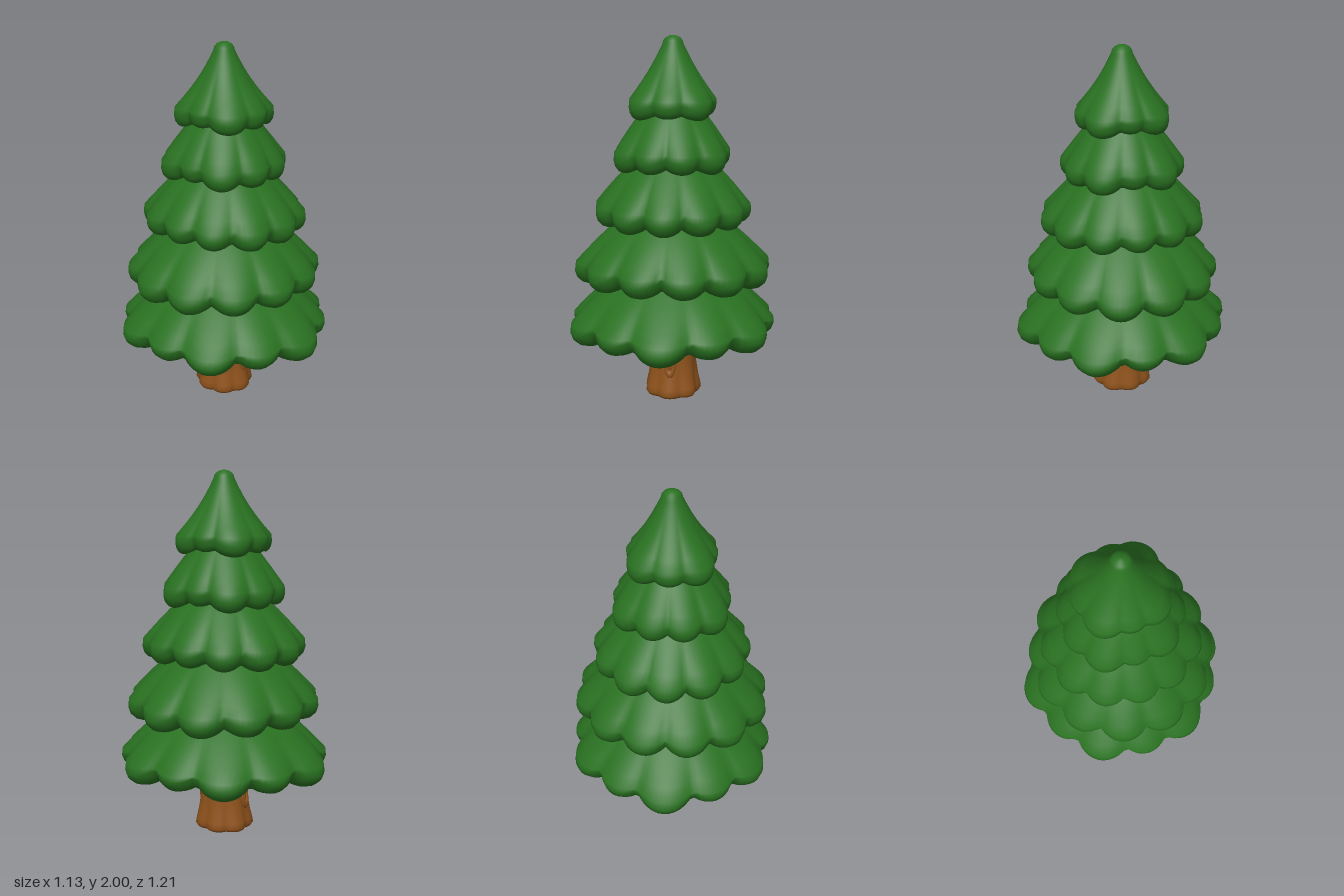
import * as THREE from 'three';

const needleGreen = new THREE.MeshStandardMaterial({ color: 0x297121 });
needleGreen.name = 'needleGreen';
const barkBrown = new THREE.MeshStandardMaterial({ color: 0x90531c });
barkBrown.name = 'barkBrown';

// Closed-around surface: point(i, angle) gives [radius, height] for ring i, from the bottom up
function ringSurface(rings, segments, point) {
  const positions = [], index = [];
  for (let i = 0; i < rings; i++) {
    for (let j = 0; j < segments; j++) {
      const a = (j / segments) * Math.PI * 2;
      const [r, y] = point(i, a);
      positions.push(r * Math.cos(a), y, r * Math.sin(a));
      if (i === rings - 1) continue;
      const p = i * segments + j, q = i * segments + (j + 1) % segments;
      index.push(p, p + segments, q, q, p + segments, q + segments);
    }
  }
  const g = new THREE.BufferGeometry();
  g.setAttribute('position', new THREE.Float32BufferAttribute(positions, 3));
  g.setIndex(index);
  g.computeVertexNormals();
  return g;
}

function addMesh(group, name, geometry, material) {
  const mesh = new THREE.Mesh(geometry, material);
  mesh.name = name;
  group.add(mesh);
  return mesh;
}

// Rounded lip of a tier: [share of the lobe radius, height above the lobe's bottom / lip size]
const LIP = [[0.12, 1.2], [0.5, 0.95], [0.72, 0.45], [0.81, 0.08], [0.87, 0], [0.93, 0.12], [0.98, 0.42], [1, 0.8]];
const SLOPE_RINGS = 7;
const CAP_RINGS = 4;

// rx, rz: reach sideways and to the front; diagonal, skew: extra reach of the lobes in between;
// phase: turn in lobes; bulge: outward (+) or inward (-) bow of the slope
const TIERS = [
  { lobes: 12, phase: 0, rx: 0.567, rz: 0.607, diagonal: 0, skew: 0.022, bottom: 0.33, lip: 0.085, topR: 0.2, topY: 0.77, bulge: 0.025 },
  { lobes: 12, phase: 0.5, rx: 0.547, rz: 0.53, diagonal: 0, skew: 0, bottom: 0.655, lip: 0.085, topR: 0.18, topY: 1.09, bulge: 0.022 },
  { lobes: 12, phase: 0, rx: 0.43, rz: 0.45, diagonal: 0.006, skew: 0, bottom: 0.98, lip: 0.08, topR: 0.14, topY: 1.4, bulge: 0.014 },
  { lobes: 10, phase: 0, rx: 0.312, rz: 0.335, diagonal: 0.02, skew: 0.01, bottom: 1.28, lip: 0.075, topR: 0.1, topY: 1.68, bulge: 0.008 },
  { lobes: 8, phase: 0, rx: 0.235, rz: 0.252, diagonal: 0.022, skew: 0, bottom: 1.56, lip: 0.07, topR: 0.056, topY: 1.955, bulge: -0.014 },
];

function tierGeometry({ lobes, phase, rx, rz, diagonal, skew, bottom, lip, topR, topY, bulge }) {
  const spacing = (Math.PI * 2) / lobes;
  const lobeRadii = Array.from({ length: lobes }, (_, n) => {
    const a = (n + phase) * spacing;
    const s = Math.abs(Math.sin(a)), c = Math.abs(Math.cos(a));
    const fold = Math.atan2(s, c);
    return rx + (rz - rx) * s * s + diagonal * Math.sin(2 * fold) + skew * Math.sin(4 * fold);
  });
  const biggest = Math.max(...lobeRadii);
  const mean = lobeRadii.reduce((sum, r) => sum + r, 0) / lobes;

  // Scalloped outline: the outermost of all lobes at this angle
  const outline = a => Math.max(...lobeRadii.map((r, n) => {
    const d = a - (n + phase) * spacing;
    const near = Math.atan2(Math.sin(d), Math.cos(d)) / (spacing / 2);
    return r * (1 - 0.1 * near * near);
  }));

  return ringSurface(LIP.length + SLOPE_RINGS + CAP_RINGS, 120, (i, a) => {
    const R = outline(a);
    const lift = (biggest - R) * 0.75;
    if (i < LIP.length) {
      // The hollow underside smooths out towards the trunk
      const [share, rise] = LIP[i];
      const lobed = Math.min(1, share * share * 1.4);
      return [share * THREE.MathUtils.lerp(mean, R, lobed), bottom + rise * lip + lift * lobed];
    }
    // Bowed slope, on which the folds between lobes fade out
    const t = (i - LIP.length) / (SLOPE_RINGS - 1);
    if (t <= 1) {
      const fade = Math.max(0, 1 - (t + 0.1) / 0.9);
      const r = THREE.MathUtils.lerp(mean * 0.965, topR, t) + bulge * Math.sin(Math.PI * t);
      const y = THREE.MathUtils.lerp(bottom + lip * 1.4, topY, t);
      return [r * (1 + (R / mean - 0.97) * fade), y + lift * fade * 0.35];
    }
    // Rounded top
    const turn = ((i - LIP.length - SLOPE_RINGS + 1) / CAP_RINGS) * Math.PI * 0.499;
    return [topR * Math.cos(turn), topY + 0.045 * Math.sin(turn)];
  });
}

// Trunk: [radius, height], fluted into roots towards the ground
const TRUNK = [[0.0005, 0.008], [0.12, 0.008], [0.146, 0.002], [0.157, 0.02], [0.153, 0.05], [0.142, 0.1],
  [0.132, 0.17], [0.126, 0.27], [0.124, 0.5]];

function trunkGeometry() {
  return ringSurface(TRUNK.length, 72, (i, a) => {
    const [r, y] = TRUNK[i];
    const roots = Math.abs(Math.cos(3.5 * a + 0.6)) - 0.6;
    const flare = Math.max(0.12, 1 - y / 0.3);
    return [r * (1 + 0.13 * roots * flare - 0.03 * Math.cos(2 * a) * flare), y];
  });
}

export function createModel() {
  const tree = new THREE.Group();
  tree.name = 'pineTree';

  addMesh(tree, 'trunk', trunkGeometry(), barkBrown);

  // Bark knots on the front and back
  for (const side of [1, -1]) {
    const knot = new THREE.Group();
    knot.name = side > 0 ? 'frontKnot' : 'backKnot';
    const rim = addMesh(knot, 'knotRim', new THREE.TorusGeometry(0.024, 0.009, 8, 20), barkBrown);
    rim.scale.set(1, 2.5, 1.2);
    const core = addMesh(knot, 'knotCore', new THREE.SphereGeometry(0.016, 12, 8), barkBrown);
    core.scale.set(0.8, 2.2, 0.5);
    knot.position.set(0, 0.2, side * 0.133);
    knot.rotation.x = -side * 0.1;
    tree.add(knot);
  }

  TIERS.forEach((tier, i) => addMesh(tree, `branchTier${i + 1}`, tierGeometry(tier), needleGreen));
  return tree;
}
